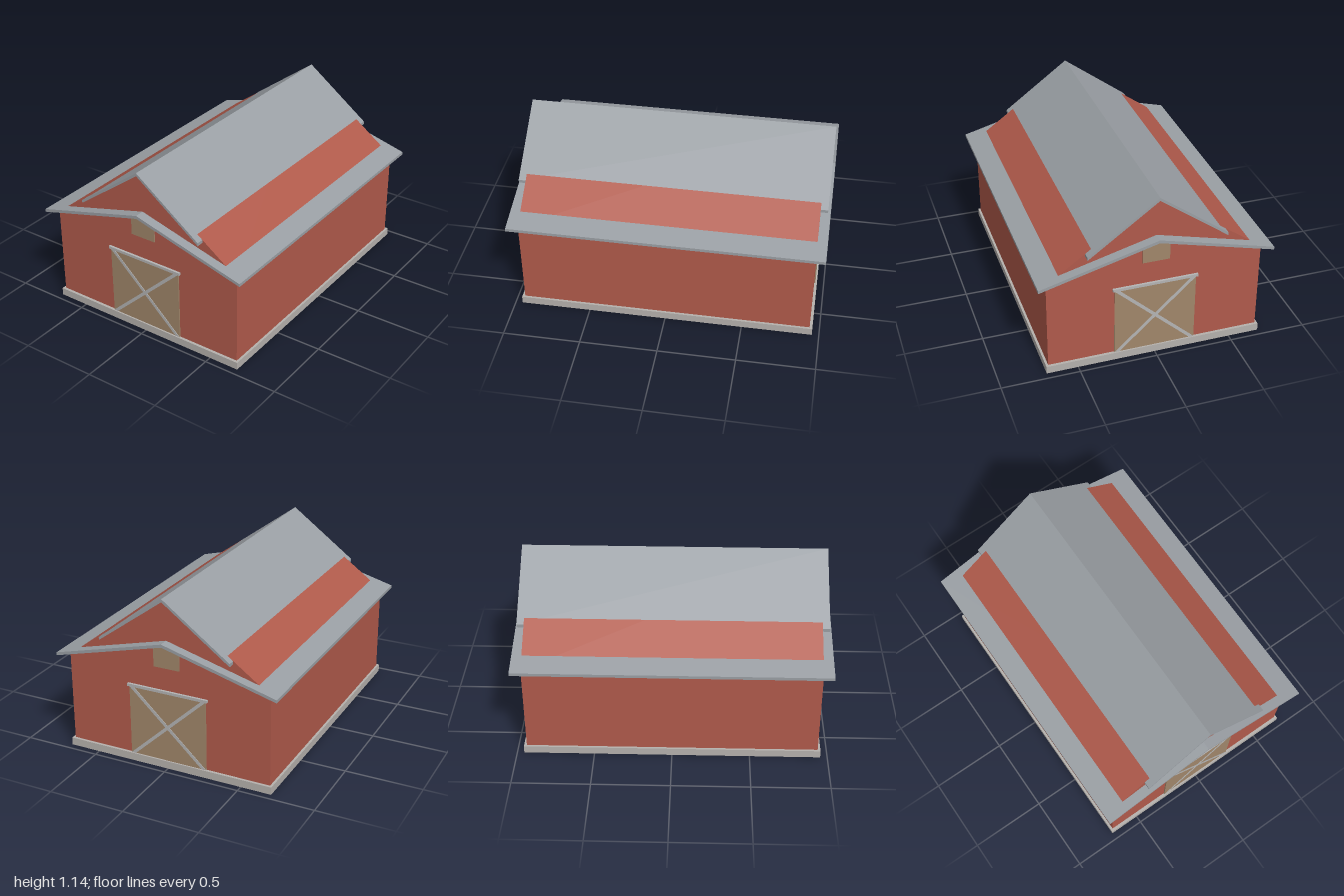
import * as THREE from 'three';

const mat = (color) => new THREE.MeshStandardMaterial({ color, flatShading: true });

export function createModel() {
  const barn = new THREE.Group();
  barn.name = 'barn';
  const red = mat(0xb05a4b), roofGrey = mat(0x9a9fa4), stone = mat(0xb5b1ad);
  const wood = mat(0xa0866a), trim = mat(0xb4b4b4);

  const add = (parent, name, geometry, material, x = 0, y = 0, z = 0) => {
    const mesh = new THREE.Mesh(geometry, material);
    mesh.name = name;
    mesh.position.set(x, y, z);
    parent.add(mesh);
    return mesh;
  };
  // Outline in x, y pushed along z, centred on z = 0
  const prism = (points, halfDepth) => {
    const shape = new THREE.Shape(points.map(([x, y]) => new THREE.Vector2(x, y)));
    return new THREE.ExtrudeGeometry(shape, { depth: 2 * halfDepth, bevelEnabled: false })
      .translate(0, 0, -halfDepth);
  };
  // Gable roof: an inverted V of constant vertical thickness
  const gable = (halfWidth, ridge, eave, t, halfDepth) => prism([
    [-halfWidth, eave - t], [0, ridge - t], [halfWidth, eave - t],
    [halfWidth, eave], [0, ridge], [-halfWidth, eave],
  ], halfDepth);

  // Foundation and walls
  add(barn, 'foundation', new THREE.BoxGeometry(1.404, 0.05, 1.91), stone, 0, 0.025, 0);
  add(barn, 'walls', prism([
    [-0.687, 0.05], [0.687, 0.05], [0.687, 0.643], [0, 1.138], [-0.687, 0.643],
  ], 0.937), red);

  // Wide shallow roof with the steep upper roof breaking through it
  add(barn, 'lowerRoof', gable(0.748, 0.862, 0.662, 0.02, 1), roofGrey);
  add(barn, 'upperRoof', gable(0.442, 1.144, 0.819, 0.02, 0.983), roofGrey);

  // The same door and loft hatch on both gable ends
  for (const side of [1, -1]) {
    const end = new THREE.Group();
    end.name = side > 0 ? 'frontEnd' : 'backEnd';
    end.rotation.y = side > 0 ? 0 : Math.PI;
    barn.add(end);
    add(end, 'door', new THREE.BoxGeometry(0.524, 0.462, 0.012), wood, 0, 0.281, 0.939);
    add(end, 'doorHeader', new THREE.BoxGeometry(0.548, 0.018, 0.02), trim, 0, 0.521, 0.942);
    add(end, 'loftHatch', new THREE.BoxGeometry(0.174, 0.15, 0.012), wood, 0, 0.755, 0.939);
    // Crossed braces with ends cut level
    for (const m of [1, -1]) {
      const brace = prism([
        [-0.262 * m, 0.05], [-0.232 * m, 0.05], [0.262 * m, 0.512], [0.232 * m, 0.512],
      ], 0.004);
      add(end, 'doorBrace', brace, trim, 0, 0, 0.944);
    }
  }
  return barn;
}
